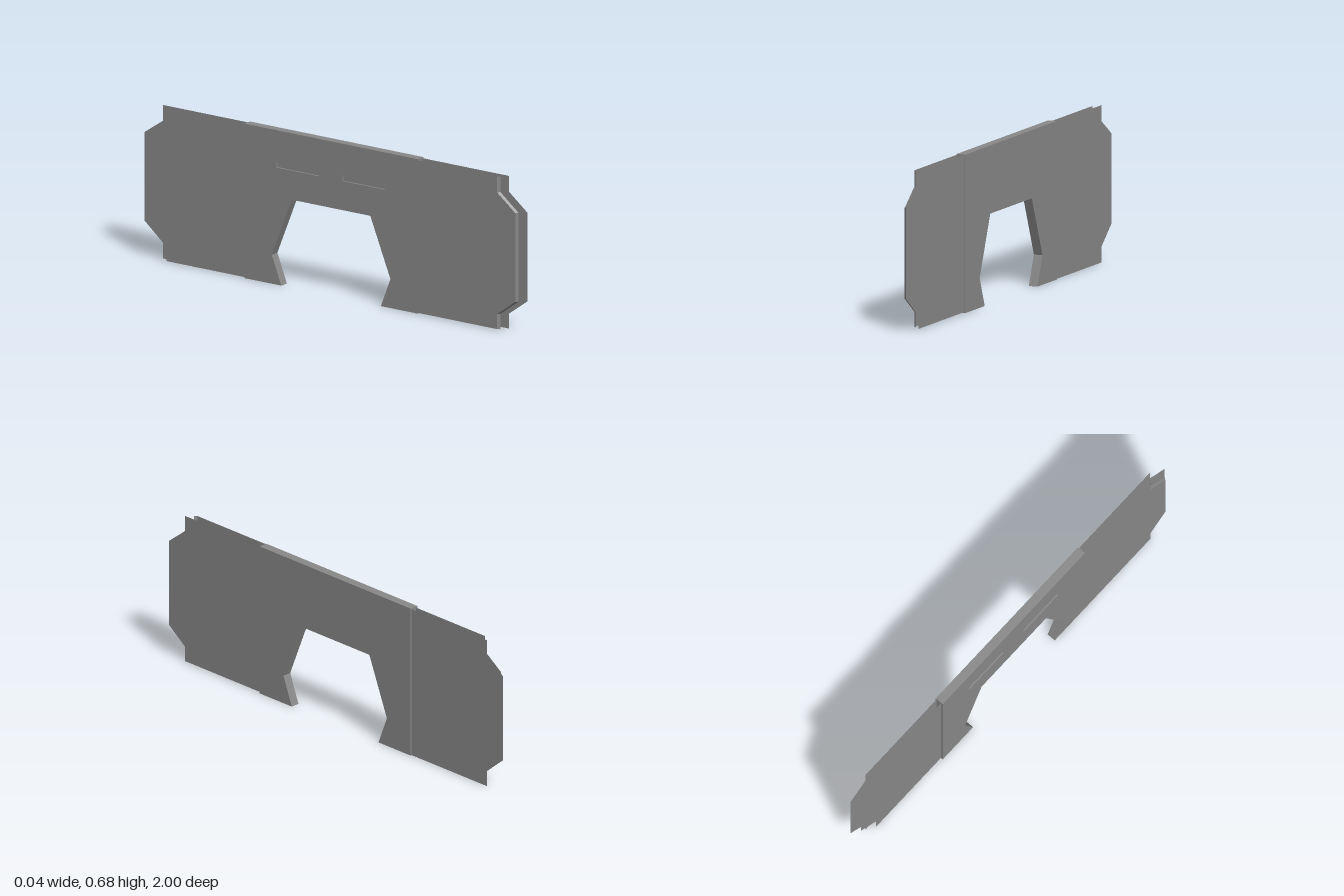
import * as THREE from 'three';

const material = new THREE.MeshStandardMaterial({ color: 0x888888, flatShading: true, side: THREE.DoubleSide });

const toShape = (points) => new THREE.Shape(points.map(([z, y]) => new THREE.Vector2(z, y)));

// Outlines are drawn in (z, y) and turned to face sideways
function addPart(group, name, geometry, x) {
  const mesh = new THREE.Mesh(geometry.rotateY(-Math.PI / 2), material);
  mesh.name = name;
  mesh.position.x = x;
  group.add(mesh);
}

// Chamfered outer end of a wing panel, from bottom to top
function endProfile(side, reach) {
  const low = side > 0 ? 0 : 0.01;
  return [
    [reach - 0.095, 0.07], [reach, 0.14 + low],
    [reach, 0.53 + low], [reach - 0.095, 0.605],
  ].map(([z, y]) => [side * z, y]);
}

function wingOutline(side, reach) {
  const bottom = side > 0 ? 0.004 : 0.001;
  const step = side * (reach - 0.095);
  return [
    [side * 0.453, bottom], [step, bottom],
    ...endProfile(side, reach),
    [step, 0.675], [side * 0.453, 0.675],
  ];
}

export function createModel() {
  const group = new THREE.Group();
  group.name = 'archedPanel';

  // Thick centre panel with an arched opening
  const half = [[0.453, 0.679], [0.453, 0], [0.26, 0], [0.31, 0.127], [0.205, 0.387]];
  const outline = [...half, ...half.map(([z, y]) => [-z, y]).reverse()];
  const layer = (shape, depth) => new THREE.ExtrudeGeometry(shape, { depth, bevelEnabled: false });
  addPart(group, 'centrePanel', layer(toShape(outline), 0.032), 0.02);

  // Inner layer carries two shallow slots
  const slotted = toShape(outline);
  for (const z of [-0.285, 0.06]) {
    slotted.holes.push(toShape([[z, 0.515], [z, 0.54], [z + 0.222, 0.54], [z + 0.222, 0.515]]));
  }
  addPart(group, 'slottedLayer', layer(slotted, 0.008), -0.012);

  // Wings: a long outer sheet and a shorter inner sheet
  for (const side of [1, -1]) {
    const end = side > 0 ? 'front' : 'rear';
    const sheet = (reach) => new THREE.ShapeGeometry(toShape(wingOutline(side, reach)));
    addPart(group, end + 'OuterSheet', sheet(1), 0.015);
    addPart(group, end + 'InnerSheet', sheet(0.963), side > 0 ? -0.021 : -0.01);
  }

  // Narrow, slightly flared rim around the front inner sheet's end
  const rimLine = [[0.868, 0.004], ...endProfile(1, 0.963), [0.868, 0.675]];
  const rim = new THREE.PlaneGeometry(1, 1, 1, rimLine.length - 1);
  const position = rim.attributes.position;
  rimLine.forEach(([z, y], i) => {
    position.setXYZ(2 * i, z + 0.01, y, 0);
    position.setXYZ(2 * i + 1, z, y, 0.011);
  });
  rim.computeVertexNormals();
  addPart(group, 'frontRim', rim, -0.01);

  return group;
}
